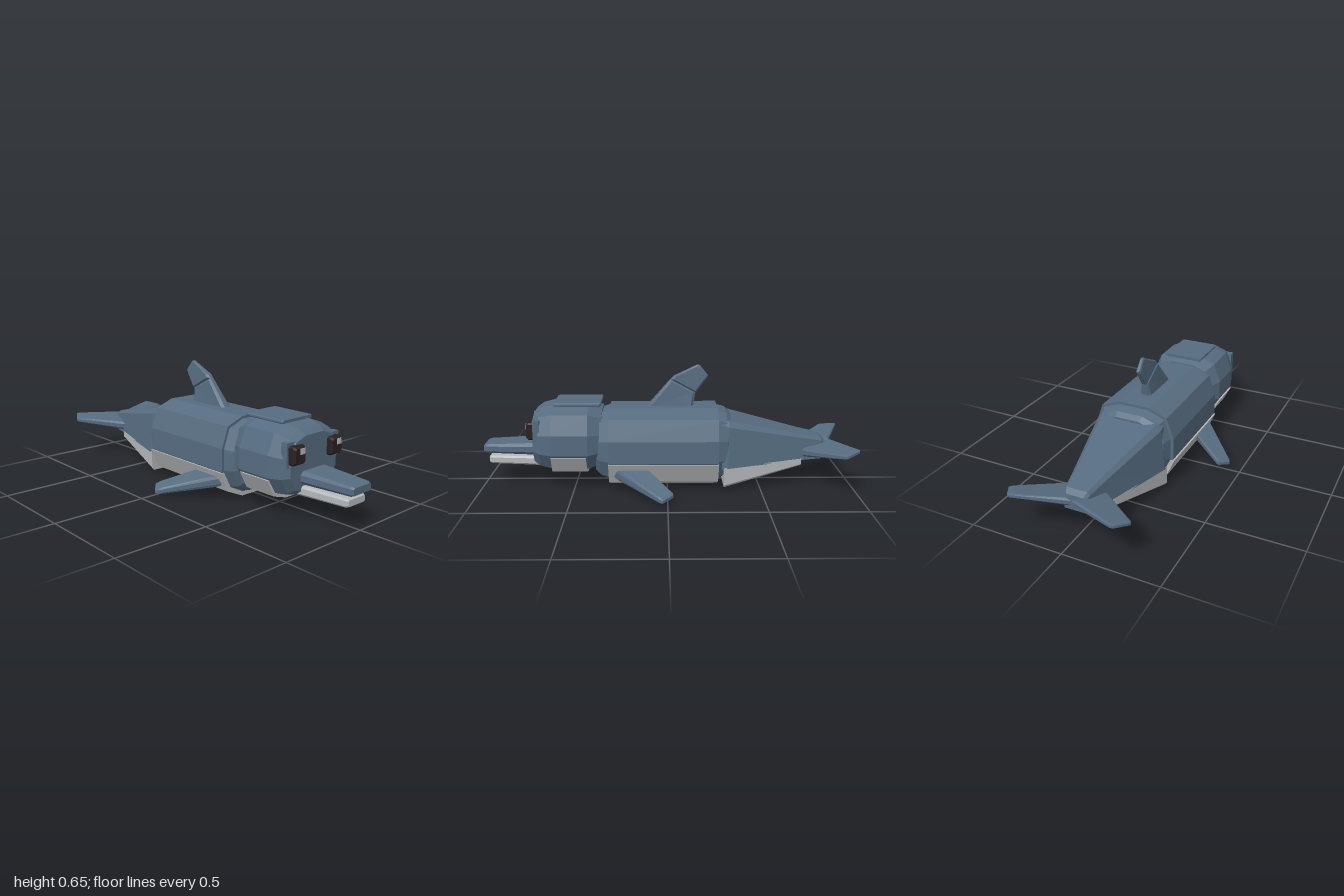
import * as THREE from 'three';

const blue = new THREE.MeshStandardMaterial({ name: 'slate blue skin', color: 0x566c80, flatShading: true });
const pale = new THREE.MeshStandardMaterial({ name: 'pale grey belly', color: 0xb6b9bc, flatShading: true });
const dark = new THREE.MeshStandardMaterial({ name: 'dark eye', color: 0x2a2020, flatShading: true });

// Closed solid through equal-length loops of [x, y, z]; faces are turned outward by volume sign
function loft(rings) {
  const tris = [];
  const n = rings[0].length;
  for (let r = 0; r < rings.length - 1; r++) {
    for (let i = 0; i < n; i++) {
      const j = (i + 1) % n;
      const [a, b, c, d] = [rings[r][i], rings[r][j], rings[r + 1][j], rings[r + 1][i]];
      tris.push([a, b, c], [a, c, d]);
    }
  }
  const cap = (ring, flip) => {
    const mid = [0, 1, 2].map(k => ring.reduce((s, p) => s + p[k], 0) / n);
    for (let i = 0; i < n; i++) {
      const j = (i + 1) % n;
      tris.push(flip ? [mid, ring[j], ring[i]] : [mid, ring[i], ring[j]]);
    }
  };
  cap(rings[0], true);
  cap(rings[rings.length - 1], false);
  let volume = 0;
  const o = new THREE.Vector3(...rings[0][0]);
  for (const t of tris) {
    const [a, b, c] = t.map(p => new THREE.Vector3(...p).sub(o));
    volume += a.dot(b.cross(c));
  }
  if (volume < 0) tris.forEach(t => t.reverse());
  const geo = new THREE.BufferGeometry();
  geo.setAttribute('position', new THREE.Float32BufferAttribute(tris.flat(2), 3));
  geo.computeVertexNormals();
  return geo;
}

// Right half of a section [x, y], top to bottom, mirrored into a loop at depth z
const mirrored = (half, z) => [
  ...half.map(([x, y]) => [x, y, z]),
  ...half.slice().reverse().map(([x, y]) => [-x, y, z]),
];

// Scales a half section about a centre height
const scaled = (half, s, cy) => half.map(([x, y]) => [x * s, cy + (y - cy) * s]);

// Rectangle section with chamfered corners
const chamfered = (w, y0, y1, c) => [[w - c, y1], [w, y1 - c], [w, y0 + c], [w - c, y0]];

// Bevelled fin: outline of [u, v, halfThickness], placed by map(u, v, offset)
function fin(outline, map) {
  const n = outline.length;
  const cu = outline.reduce((s, p) => s + p[0], 0) / n;
  const cv = outline.reduce((s, p) => s + p[1], 0) / n;
  const layer = (inset, k) => outline.map(([u, v, t]) =>
    map(cu + (u - cu) * inset, cv + (v - cv) * inset, t * k));
  return loft([layer(0.86, 1), layer(1, 0.5), layer(1, -0.5), layer(0.86, -1)]);
}

// Open U-shaped belly plate following the lower half of a section
function bellyPlate(outer, thickness, z0, z1) {
  const inner = outer.map(([x, y], i) => [x - thickness * (i === outer.length - 1 ? 0.4 : 1),
    y + (i === 0 ? 0 : thickness)]);
  const loop = [
    ...outer, ...outer.slice().reverse().map(([x, y]) => [-x, y]),
    ...inner.map(([x, y]) => [-x, y]), ...inner.slice().reverse(),
  ];
  const shape = new THREE.Shape(loop.map(p => new THREE.Vector2(...p)));
  const geo = new THREE.ExtrudeGeometry(shape, { depth: z1 - z0, bevelEnabled: false });
  return geo.translate(0, 0, z0);
}

export function createModel() {
  const model = new THREE.Group();
  model.name = 'dolphin';
  const add = (name, geo, mat, parent = model) => {
    const mesh = new THREE.Mesh(geo, mat);
    mesh.name = name;
    parent.add(mesh);
    return mesh;
  };
  const box = (x0, x1, y0, y1, z0, z1) => new THREE.BoxGeometry(x1 - x0, y1 - y0, z1 - z0)
    .translate((x0 + x1) / 2, (y0 + y1) / 2, (z0 + z1) / 2);

  // Body with stepped, bevelled ends
  const bodyHalf = [[0.085, 0.428], [0.185, 0.39], [0.225, 0.28], [0.225, 0.16], [0.18, 0.06], [0.08, 0.015]];
  const bodySteps = [[-0.345, 0.76], [-0.32, 0.86], [-0.27, 0.93], [-0.27, 1], [0.31, 1],
    [0.31, 0.94], [0.36, 0.86], [0.385, 0.74]];
  add('body', loft(bodySteps.map(([z, s]) => mirrored(scaled(bodyHalf, s, 0.22), z))), blue);
  add('bodyBelly', bellyPlate([[0.232, 0.155], [0.186, 0.048], [0.082, 0.002]], 0.02, -0.272, 0.312), pale);

  // Head
  const headHalf = [[0.08, 0.445], [0.17, 0.412], [0.212, 0.31], [0.212, 0.2], [0.16, 0.115], [0.08, 0.088]];
  const headSteps = [[0.35, 0.84], [0.42, 1], [0.61, 1], [0.68, 0.91], [0.715, 0.78]];
  add('head', loft(headSteps.map(([z, s]) => mirrored(scaled(headHalf, s, 0.26), z))), blue);
  add('headBelly', bellyPlate([[0.216, 0.19], [0.168, 0.1], [0.08, 0.074]], 0.018, 0.43, 0.615), pale);
  add('headCap', loft([[0.355, 0.103], [0.363, 0.11], [0.597, 0.11], [0.605, 0.103]]
    .map(([z, w]) => mirrored(chamfered(w, 0.444, 0.46, 0.004), z))), blue);

  // Beak
  add('upperBeak', loft([
    mirrored(chamfered(0.1, 0.165, 0.235, 0.018), 0.64),
    mirrored(chamfered(0.094, 0.167, 0.233, 0.018), 0.72),
    mirrored(chamfered(0.072, 0.174, 0.222, 0.01), 0.985),
    mirrored(chamfered(0.063, 0.18, 0.216, 0.006), 1.0),
  ]), blue);
  add('lowerBeak', loft([
    mirrored(chamfered(0.092, 0.106, 0.16, 0.012), 0.64),
    mirrored(chamfered(0.07, 0.115, 0.157, 0.008), 0.96),
    mirrored(chamfered(0.06, 0.12, 0.152, 0.005), 0.973),
  ]), pale);

  // Eyes: socket plate, bevelled eye and glint on the same side of both
  for (const side of [1, -1]) {
    const eye = new THREE.Group();
    eye.name = side > 0 ? 'leftEye' : 'rightEye';
    model.add(eye);
    const cx = side * 0.1335;
    add('eyeSocket', box(cx - 0.053, cx + 0.053, 0.262, 0.385, 0.672, 0.708), blue, eye);
    const ball = add('eyeball', loft([[0.7, 0.042], [0.732, 0.042], [0.746, 0.033]]
      .map(([z, w]) => mirrored(chamfered(w, 0.324 - w - 0.004, 0.324 + w + 0.004, 0.008), z))), dark, eye);
    ball.position.x = cx;
    add('eyeGlint', box(cx - 0.003, cx + 0.027, 0.331, 0.36, 0.742, 0.749), pale, eye);
  }

  // Tail: blue upper part and pale underside
  const tailHalf = (tx, top, sx, sy, bx, bottom) => [[tx, top], [sx, sy], [bx, bottom]];
  add('tail', loft([
    mirrored(tailHalf(0.15, 0.375, 0.178, 0.355, 0.2, 0.12), -0.29),
    mirrored(tailHalf(0.152, 0.372, 0.18, 0.345, 0.204, 0.125), -0.325),
    mirrored(tailHalf(0.072, 0.279, 0.09, 0.262, 0.104, 0.14), -0.73),
    mirrored(tailHalf(0.055, 0.256, 0.068, 0.24, 0.075, 0.14), -0.84),
    mirrored(tailHalf(0.045, 0.235, 0.055, 0.22, 0.058, 0.155), -0.865),
  ]), blue);
  add('tailBelly', loft([
    mirrored([[0.206, 0.13], [0.206, 0.032], [0.194, 0.018]], -0.302),
    mirrored([[0.106, 0.148], [0.106, 0.118], [0.098, 0.11]], -0.73),
  ]), pale);

  // Dorsal fin in two segments
  const upright = (z, y, t) => [t, y, z];
  add('dorsalFinBase', fin([[0.12, 0.41, 0.032], [-0.02, 0.572, 0.019], [-0.155, 0.5, 0.019], [-0.14, 0.41, 0.032]],
    upright), blue);
  add('dorsalFinTip', fin([[-0.02, 0.57, 0.021], [-0.035, 0.587, 0.02], [-0.165, 0.65, 0.011],
    [-0.178, 0.646, 0.011], [-0.222, 0.592, 0.013], [-0.218, 0.58, 0.014], [-0.155, 0.495, 0.021]],
  upright), blue);

  // Side flippers and tail flukes, mirrored
  for (const side of [1, -1]) {
    const label = side > 0 ? 'left' : 'right';
    add(label + 'Flipper', fin([[0.15, 0.31, 0.03], [0.2, 0.285, 0.03], [0.425, 0.042, 0.017], [0.433, 0.025, 0.015],
      [0.39, -0.028, 0.015], [0.375, -0.027, 0.016], [0.15, 0.135, 0.03]],
    (x, z, t) => [side * x, 0.03 + (0.43 - x) * 0.31 + t, z]), blue);
    add(label + 'Fluke', fin([[0, -0.895, 0.02], [0.26, -1.0, 0.012], [0.277, -0.995, 0.012],
      [0.32, -0.925, 0.013], [0.315, -0.91, 0.013], [0.09, -0.725, 0.024], [0, -0.73, 0.024]],
    (x, z, t) => [side * x, 0.18 - (z + 0.73) * 0.22 + t, z]), blue);
  }
  return model;
}
